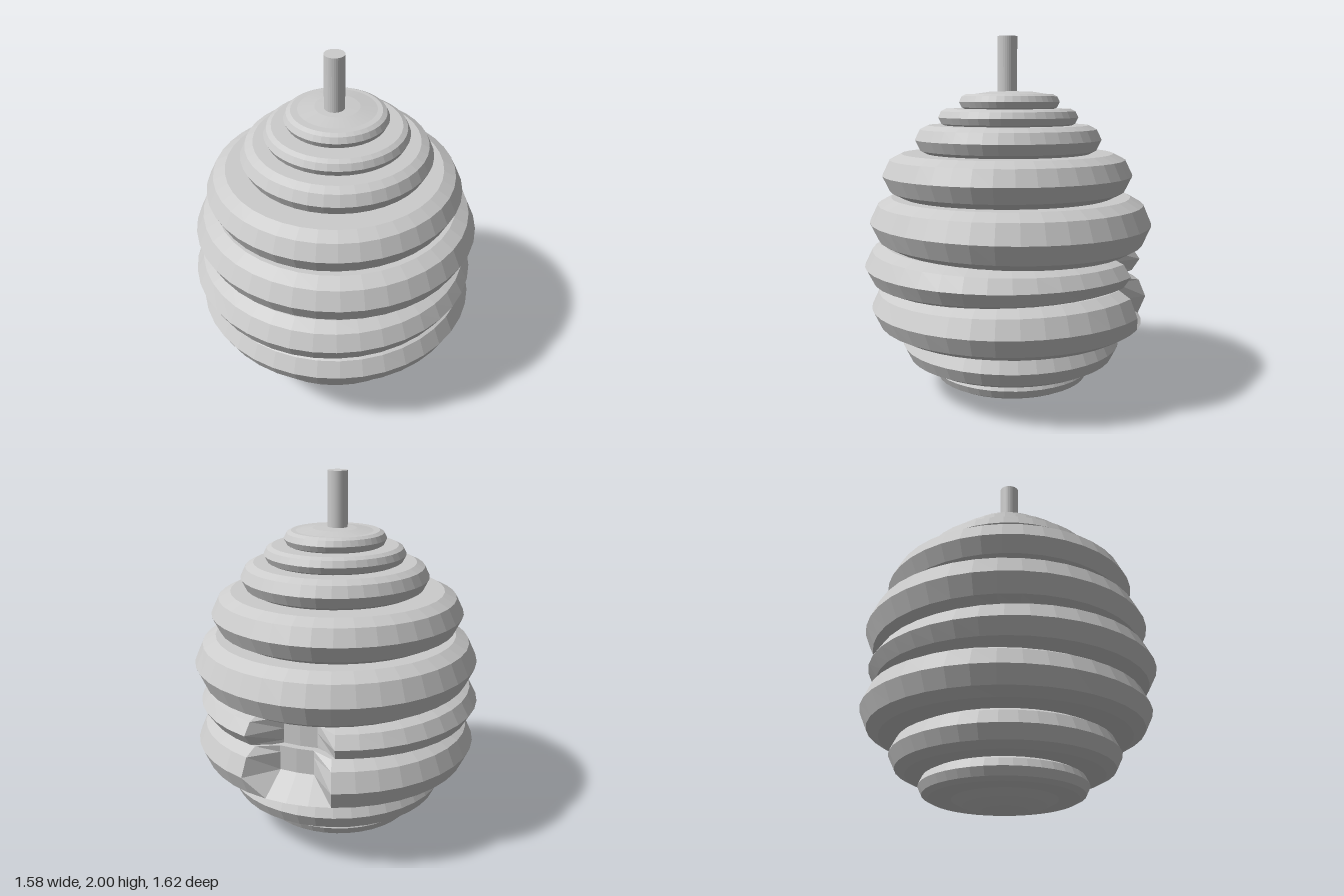
import * as THREE from 'three';

const material = new THREE.MeshStandardMaterial({ color: 0xcccccc, flatShading: true });
const SEGMENTS = 40;

// Bulging half profile of a coil: [height fraction, inset as a fraction of half height]
const BULGE = [[-1, 0.9], [-0.72, 0.35], [0, 0], [0.72, 0.35], [1, 0.9]];

function lathe(name, points) {
  const geometry = new THREE.LatheGeometry(points.map(([r, y]) => new THREE.Vector2(r, y)), SEGMENTS);
  const mesh = new THREE.Mesh(geometry, material);
  mesh.name = name;
  return mesh;
}

// One closed coil; liftBottom and liftTop shift its edges at the back, so coils wedge together
function coil({ y0, y1, r, x = 0, z = 0, liftBottom = 0, liftTop = 0, entrance = false }, i) {
  const h = (y1 - y0) / 2;
  const mid = (y0 + y1) / 2;
  const profile = BULGE.map(([t, inset]) => [r - inset * h, mid + t * h]);
  const mesh = lathe(`coil${i + 1}`, [[0, y0], ...profile, [0, y1]]);
  const pos = mesh.geometry.attributes.position;
  for (let k = 0; k < pos.count; k++) {
    let px = pos.getX(k), py = pos.getY(k), pz = pos.getZ(k);
    const back = 0.5 - pz / (2 * r);
    py += back * THREE.MathUtils.lerp(liftBottom, liftTop, (py - y0) / (y1 - y0));
    // Press the entrance hollow into the back
    const radius = Math.hypot(px, pz);
    if (entrance && pz < 0 && px > -0.26 && px < 0.05 && py > 0.45 && py < 0.81 && radius > 0.6) {
      px *= 0.6 / radius;
      pz *= 0.6 / radius;
    }
    pos.setXYZ(k, px + x, py, pz + z);
  }
  mesh.geometry.computeVertexNormals();
  return mesh;
}

export function createModel() {
  const model = new THREE.Group();
  model.name = 'beehive';

  // Stacked coils, bottom to top
  const coils = [
    { y0: 0.06, y1: 0.18, r: 0.45, x: -0.02, z: -0.02 },
    { y0: 0.18, y1: 0.38, r: 0.62, x: -0.005, z: -0.02 },
    { y0: 0.38, y1: 0.62, r: 0.79, z: -0.02, liftTop: 0.04, entrance: true },
    { y0: 0.61, y1: 0.86, r: 0.79, z: 0.02, liftBottom: 0.04, liftTop: -0.035, entrance: true },
    { y0: 0.855, y1: 1.12, r: 0.79, z: -0.02, liftBottom: -0.035 },
    { y0: 1.12, y1: 1.36, r: 0.7 },
    { y0: 1.355, y1: 1.515, r: 0.52, x: 0.01, z: -0.01 },
    { y0: 1.51, y1: 1.605, r: 0.39, x: 0.01, z: -0.01 },
    { y0: 1.6, y1: 1.685, r: 0.28, x: 0.005, z: -0.015 },
  ];
  coils.forEach((spec, i) => model.add(coil(spec, i)));

  // Shallow domes closing the top and the bottom
  const crown = lathe('crown', [[0.23, 1.67], [0.21, 1.685], [0.12, 1.698], [0, 1.702]]);
  crown.position.set(0.005, 0, -0.025);
  const base = lathe('base', [[0, 0], [0.12, 0.006], [0.22, 0.03], [0.29, 0.065]]);
  base.position.set(-0.01, 0, -0.02);
  model.add(crown, base);

  // Hanging stem
  const stem = new THREE.Mesh(new THREE.CylinderGeometry(0.055, 0.055, 0.34, 32), material);
  stem.name = 'stem';
  stem.position.y = 1.83;
  model.add(stem);
  return model;
}
